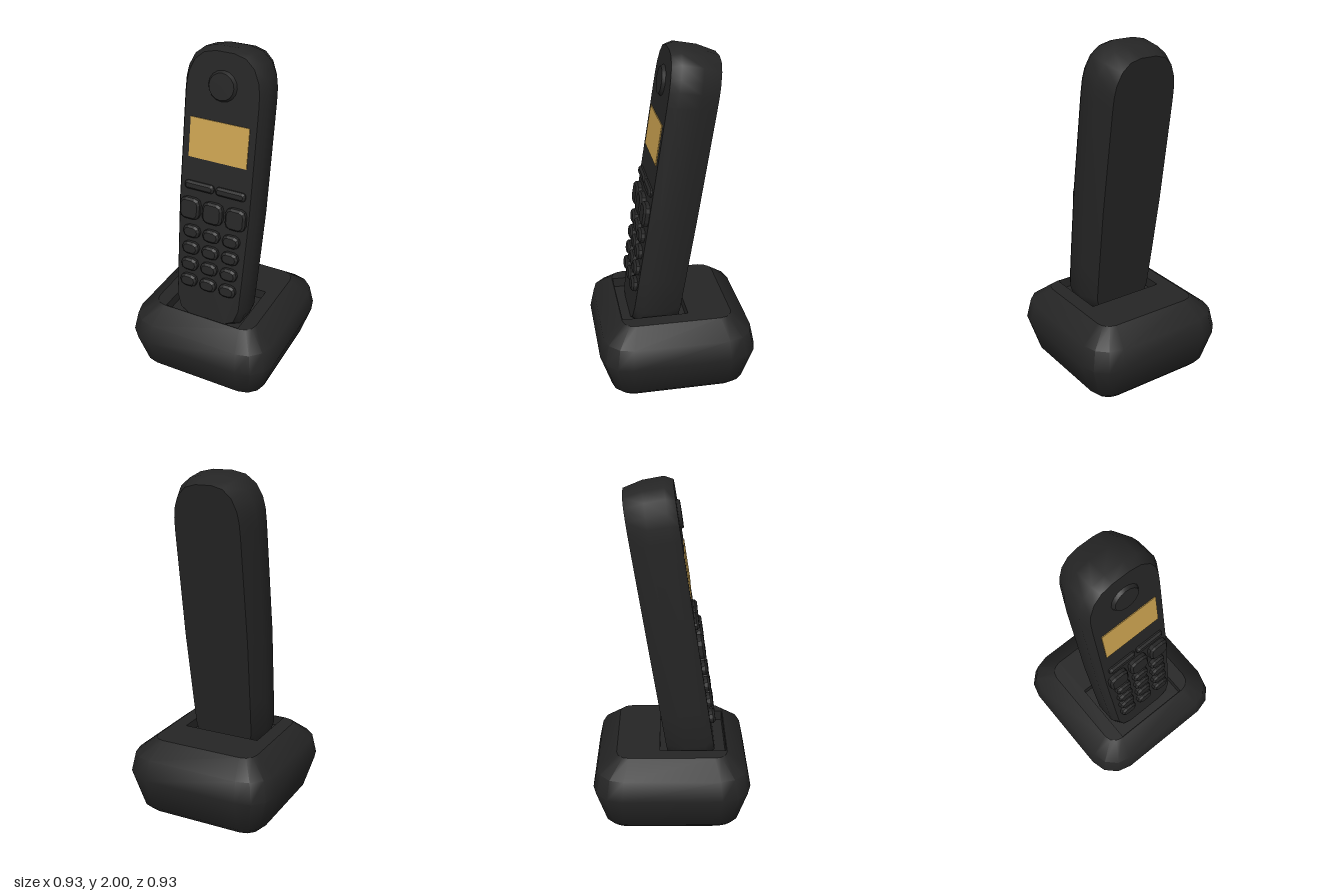
import * as THREE from 'three';
import { toCreasedNormals } from 'three/addons/utils/BufferGeometryUtils.js';

const material = (name, color) => {
  const m = new THREE.MeshStandardMaterial({ color });
  m.name = name;
  return m;
};

// Skin a stack of matching counter-clockwise rings, capping either end
function loft(rings, capStart, capEnd) {
  const n = rings[0].length, last = (rings.length - 1) * n, index = [];
  for (let i = 0; i < rings.length - 1; i++) {
    for (let j = 0; j < n; j++) {
      const a = i * n + j, b = i * n + (j + 1) % n;
      index.push(a, b, b + n, a, b + n, a + n);
    }
  }
  for (let j = 1; j < n - 1; j++) {
    if (capStart) index.push(0, j + 1, j);
    if (capEnd) index.push(last, last + j, last + j + 1);
  }
  const g = new THREE.BufferGeometry();
  g.setAttribute('position', new THREE.Float32BufferAttribute(rings.flat(2), 3));
  g.setIndex(index);
  return toCreasedNormals(g, 0.75);
}

// Counter-clockwise rectangle outline with faceted round corners
function roundedRect(hw, hh, r, steps) {
  const pts = [];
  [[1, 1], [-1, 1], [-1, -1], [1, -1]].forEach(([sx, sy], q) => {
    for (let k = 0; k <= steps; k++) {
      const a = (q + k / steps) * Math.PI / 2;
      pts.push([sx * (hw - r) + r * Math.cos(a), sy * (hh - r) + r * Math.sin(a)]);
    }
  });
  return pts;
}

const toShape = pts => new THREE.Shape(pts.map(p => new THREE.Vector2(...p)));

export function createModel() {
  const black = material('black plastic', 0x252525);
  const amber = material('amber display', 0xc8a04f);
  const model = new THREE.Group();
  model.name = 'cordlessPhone';

  const add = (parent, name, geometry, mat, x = 0, y = 0, z = 0) => {
    const mesh = new THREE.Mesh(geometry, mat);
    mesh.name = name;
    mesh.position.set(x, y, z);
    parent.add(mesh);
    return mesh;
  };

  // Charging base: height, half width, corner radius
  const base = new THREE.Group();
  base.name = 'chargingBase';
  model.add(base);
  const profile = [
    [0, 0.36, 0.09], [0.04, 0.4, 0.12], [0.24, 0.465, 0.175],
    [0.36, 0.44, 0.16], [0.45, 0.325, 0.075],
  ];
  const rings = profile.map(([y, h, r]) => roundedRect(h, h, r, 3).map(([x, v]) => [x, y, -v]));
  add(base, 'baseShell', loft(rings, true, false), black);

  // Flat top with the cradle opening
  const x0 = 0.24, zBack = -0.07, zFront = 0.32, floor = 0.39;
  const top = toShape(roundedRect(0.325, 0.325, 0.075, 3));
  const opening = [[-x0, -zFront], [-x0, -zBack], [x0, -zBack], [x0, -zFront]];
  top.holes.push(new THREE.Path(opening.map(p => new THREE.Vector2(...p))));
  add(base, 'baseTop', new THREE.ShapeGeometry(top), black, 0, 0.45, 0).rotation.x = -Math.PI / 2;

  // Cradle walls and floor face inwards
  const well = [0.45, floor].map(y => opening.map(([x, v]) => [x, y, -v]).reverse());
  add(base, 'cradleWell', loft(well, false, true), black);

  // Handset leans back; its local z = 0 is the front face
  const handset = new THREE.Group();
  handset.name = 'handset';
  handset.position.set(0, 0.45, 0.25);
  handset.rotation.x = -0.155;
  model.add(handset);

  const half = [
    [0.14, -0.08], [0.2, -0.05], [0.23, 0.03], [0.238, 0.25], [0.25, 0.65], [0.25, 1.3],
    [0.247, 1.38], [0.235, 1.443], [0.2, 1.514], [0.14, 1.562], [0.06, 1.58],
  ];
  const outline = [...half, ...half.map(([x, v]) => [-x, v]).reverse()];
  // Depth, width scale and end inset of each layer from back to front
  const layers = [[-0.28, 0.8, 0.027], [-0.17, 1, 0.003], [-0.05, 1, 0], [0, 0.88, 0.023]];
  const body = layers.map(([w, sx, inset]) => outline.map(([x, v]) =>
    [x * sx, 0.75 + (v - 0.75) * (1 - inset / 0.83), w]));
  add(handset, 'handsetBody', loft(body, true, true), black);

  // Earpiece disc
  const ear = new THREE.CylinderGeometry(0.075, 0.088, 0.02, 16);
  ear.rotateX(Math.PI / 2);
  add(handset, 'earpiece', toCreasedNormals(ear, 0.5), black, 0, 1.373, 0.008);

  // Display
  add(handset, 'display', new THREE.BoxGeometry(0.36, 0.233, 0.006), amber, 0, 1.057, 0.002);

  // Bevelled keys
  const keyGeometry = (w, h, r, height) => {
    const b = 0.012;
    return new THREE.ExtrudeGeometry(toShape(roundedRect(w / 2 - b, h / 2 - b, r, 2)), {
      depth: height - b, bevelThickness: b, bevelSize: b, bevelSegments: 1,
    });
  };
  const softKey = keyGeometry(0.185, 0.05, 0.008, 0.022);
  const menuKey = keyGeometry(0.125, 0.13, 0.025, 0.034);
  const numberKey = keyGeometry(0.105, 0.075, 0.022, 0.032);
  for (const x of [-0.098, 0.098]) add(handset, 'softKey', softKey, black, x, 0.775, 0);
  for (const col of [-1, 0, 1]) {
    add(handset, 'menuKey', menuKey, black, col * 0.145, 0.635, 0);
    for (let row = 0; row < 4; row++) {
      add(handset, 'numberKey', numberKey, black, col * 0.127, 0.174 + row * 0.106, 0);
    }
  }
  return model;
}
